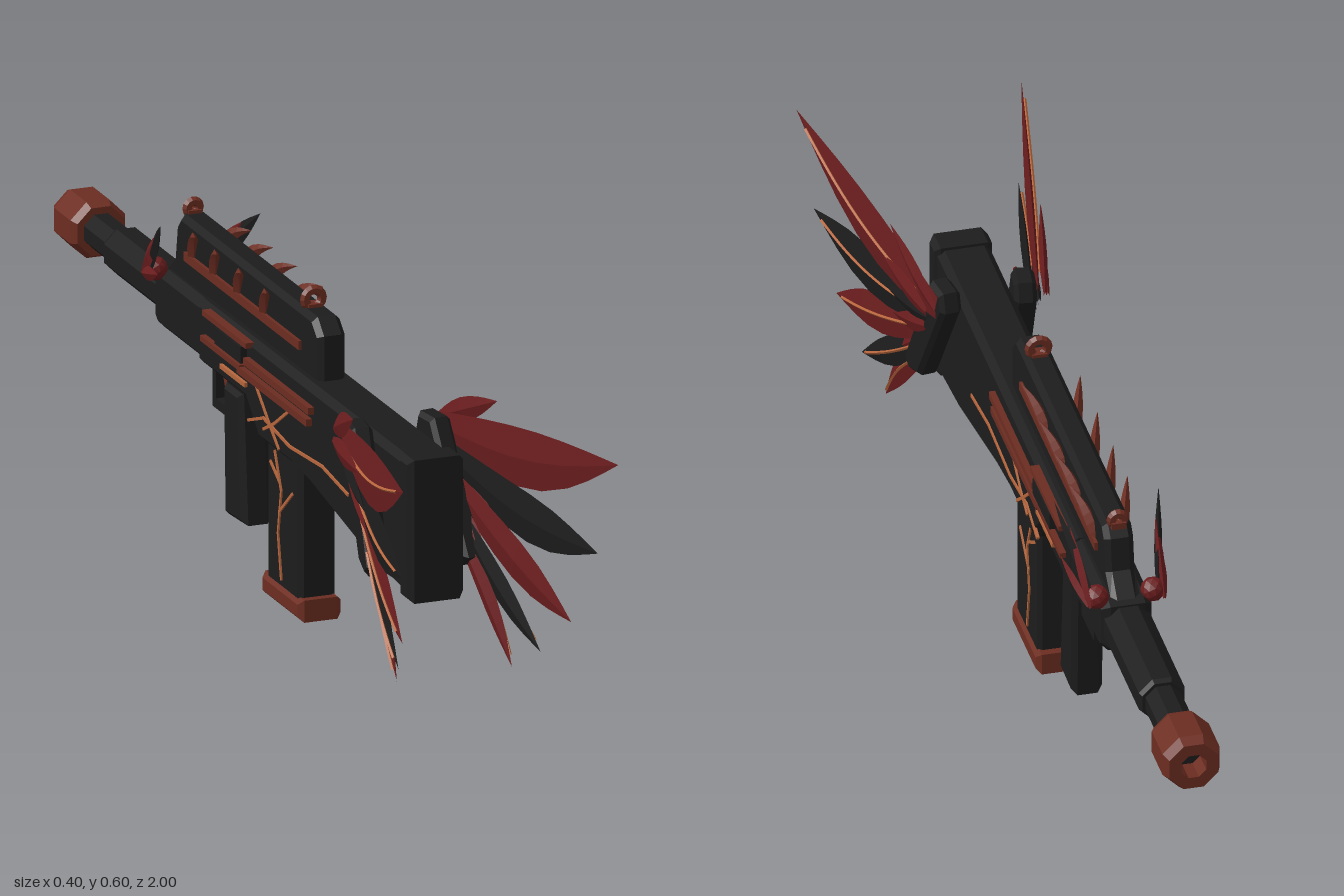
import * as THREE from 'three';

const mat = (name, color) => Object.assign(new THREE.MeshStandardMaterial({ color }), { name });
const V = (a) => new THREE.Vector3(...a);

export function createModel() {
  const black = mat('black', 0x1c1c1c);
  const red = mat('dark red', 0x6b1d1e);
  const bronze = mat('bronze', 0x6c2d21);
  const ember = mat('ember orange', 0xb5653c);
  const model = new THREE.Group();
  model.name = 'wingedRifle';

  // Everything in "half" is on the left side and is mirrored at the end
  const half = new THREE.Group();
  half.name = 'leftDetails';

  const add = (parent, name, geo, material) => {
    const g = geo.index ? geo.toNonIndexed() : geo;
    g.computeVertexNormals();
    const m = new THREE.Mesh(g, material);
    m.name = name;
    parent.add(m);
    return m;
  };

  const box = (parent, name, material, size, pos) => {
    const m = add(parent, name, new THREE.BoxGeometry(...size), material);
    m.position.set(...pos);
    return m;
  };

  // Side profile of [z, y] points, extruded across x with chamfered edges
  const slab = (parent, name, material, pts, width, bevel) => {
    const shape = new THREE.Shape(pts.map((p) => new THREE.Vector2(...p)));
    const depth = width - 2 * bevel;
    const g = new THREE.ExtrudeGeometry(shape, {
      depth, bevelEnabled: bevel > 0, bevelSize: bevel, bevelThickness: bevel,
      bevelOffset: -bevel, bevelSegments: 1,
    });
    g.translate(0, 0, -depth / 2).rotateY(-Math.PI / 2);
    return add(parent, name, g, material);
  };

  // Eight-sided turned part along -z; profile is [radius, distance forward]
  const turned = (name, material, pts) => {
    const g = new THREE.LatheGeometry(pts.map((p) => new THREE.Vector2(...p)), 8, Math.PI / 8);
    g.rotateX(-Math.PI / 2).translate(0, 0.396, 0);
    return add(model, name, g, material);
  };

  // Blade with a diamond section: narrow root, widest at "peak", pointed tip
  const blade = (name, material, root, tip, o) => {
    const { w, thick = 0.007, sag = 0, peak = 0.5, vein = false, base = 0.35 } = o;
    const R = V(root), d = V(tip).sub(R);
    const out = new THREE.Vector3(1, 0, -0.2);
    out.addScaledVector(d, -out.dot(d) / d.lengthSq()).normalize();
    const s = out.clone().cross(d).normalize();
    const rows = [0, 0.12, 0.25, 0.4, 0.55, 0.7, 0.82, 0.92, 1];
    const rings = rows.map((t) => {
      const k = t < peak
        ? base + (1 - base) * Math.sin((t / peak) * Math.PI / 2)
        : Math.cos(((t - peak) / (1 - peak)) * Math.PI / 2);
      const c = R.clone().addScaledVector(d, t).addScaledVector(s, sag * Math.sin(Math.PI * t));
      const at = (v, a) => c.clone().addScaledVector(v, a * Math.max(k, 0.001));
      return [at(s, w), at(out, thick), at(s, -w), at(out, -thick)];
    });
    const pos = [];
    for (let i = 0; i < rows.length - 1; i++) {
      for (let j = 0; j < 4; j++) {
        const n = (j + 1) % 4;
        const [a, b, c, e] = [rings[i][j], rings[i][n], rings[i + 1][n], rings[i + 1][j]];
        for (const p of [a, b, c, a, c, e]) pos.push(p.x, p.y, p.z);
      }
    }
    const g = new THREE.BufferGeometry();
    g.setAttribute('position', new THREE.Float32BufferAttribute(pos, 3));
    add(half, name, g, material);
    if (vein) {
      // Vein along the outer ridge
      const path = new THREE.CatmullRomCurve3(
        rings.slice(1, 8).map((r) => r[1].clone().addScaledVector(out, 0.002)));
      add(half, name + 'Vein', new THREE.TubeGeometry(path, 14, 0.003, 4), ember);
    }
  };

  // Glowing crack: thin bars joining [z, y] points on a side face
  const crack = (name, x, pts, size = 0.0055) => {
    for (let i = 0; i < pts.length - 1; i++) {
      const [z0, y0] = pts[i], [z1, y1] = pts[i + 1];
      const m = box(half, name, ember, [0.006, size, Math.hypot(z1 - z0, y1 - y0) + 0.003],
        [x, (y0 + y1) / 2, (z0 + z1) / 2]);
      m.rotation.x = -Math.atan2(y1 - y0, z1 - z0);
    }
  };

  // Stock and receiver
  slab(model, 'receiver', black, [[0.63, 0.455], [0.63, 0.205], [0.46, 0.22], [0.19, 0.27], [0.1, 0.28],
    [-0.05, 0.28], [-0.11, 0.335], [-0.33, 0.335], [-0.33, 0.452]], 0.094, 0.012);
  slab(model, 'buttPad', black, [[0.66, 0.46], [0.66, 0.2], [0.61, 0.2], [0.61, 0.46]], 0.104, 0.01);
  slab(model, 'handguard', black, [[-0.3, 0.45], [-0.3, 0.34], [-0.52, 0.34], [-0.54, 0.355],
    [-0.54, 0.44], [-0.5, 0.45]], 0.09, 0.014);
  slab(model, 'topCover', black, [[0.18, 0.44], [0.18, 0.535], [0.15, 0.562], [-0.46, 0.562],
    [-0.48, 0.54], [-0.49, 0.48], [-0.53, 0.44]], 0.052, 0.01);

  // Barrel and muzzle
  turned('barrel', black, [[0.044, 0.5], [0.044, 0.775], [0.04, 0.785], [0.034, 0.785], [0.034, 0.92]]);
  turned('muzzle', bronze, [[0.03, 0.89], [0.047, 0.89], [0.055, 0.905], [0.055, 0.98], [0.047, 1],
    [0.024, 1], [0.024, 0.95]]);
  turned('bore', black, [[0.025, 0.955], [0, 0.955]]);

  // Magazine, grip and trigger
  slab(model, 'magazine', black, [[0.11, 0.3], [0.11, 0.03], [-0.04, 0.03], [-0.04, 0.3]], 0.068, 0.008);
  slab(model, 'magazineBase', bronze, [[0.125, 0.04], [0.125, 0], [-0.055, 0], [-0.055, 0.04]], 0.08, 0.009);
  slab(model, 'grip', black, [[-0.185, 0.32], [-0.165, 0.085], [-0.255, 0.08], [-0.262, 0.32]], 0.056, 0.01);
  box(model, 'gripMount', black, [0.04, 0.04, 0.07], [0, 0.325, -0.222]);
  box(model, 'triggerGuardBottom', black, [0.024, 0.018, 0.09], [0, 0.257, -0.3]);
  box(model, 'triggerGuardFront', black, [0.024, 0.09, 0.016], [0, 0.294, -0.337]);
  slab(model, 'trigger', bronze, [[-0.275, 0.345], [-0.282, 0.31], [-0.275, 0.285], [-0.29, 0.285],
    [-0.302, 0.31], [-0.302, 0.345]], 0.018, 0);

  // Ring sights
  for (const [z, r] of [[0.09, 0.016], [-0.465, 0.011]]) {
    const ring = add(model, 'ringSight', new THREE.TorusGeometry(r, 0.009, 6, 14), bronze);
    ring.position.set(0, 0.559 + r, z);
    box(model, 'sightBase', bronze, [0.026, 0.012, 0.024], [0, 0.562, z]);
  }

  // Ribs sweeping up and back over the top cover
  for (const z of [-0.08, -0.2, -0.31, -0.41]) {
    blade('coverRib', bronze, [0.022, 0.495, z], [0.053, 0.564, z + 0.085],
      { w: 0.015, thick: 0.01, sag: -0.016, peak: 0.2, base: 0.8 });
  }
  box(half, 'coverStrip', bronze, [0.012, 0.016, 0.53], [0.026, 0.496, -0.165]);

  // Receiver side trim and port
  box(half, 'longTrim', bronze, [0.016, 0.013, 0.3], [0.05, 0.413, 0.06]);
  box(half, 'longTrim', bronze, [0.016, 0.013, 0.32], [0.05, 0.389, 0.04]);
  box(half, 'portTop', bronze, [0.016, 0.01, 0.2], [0.05, 0.443, -0.18]);
  box(half, 'portBottom', bronze, [0.016, 0.01, 0.18], [0.05, 0.394, -0.2]);
  box(half, 'portCover', black, [0.018, 0.03, 0.12], [0.05, 0.42, -0.16]);
  box(half, 'portLine', ember, [0.012, 0.008, 0.115], [0.047, 0.366, -0.155]);

  // Cracks on the receiver and magazine
  crack('stockCrack', 0.047, [[0.37, 0.31], [0.25, 0.325], [0.1, 0.315], [-0.02, 0.33], [-0.09, 0.305]]);
  crack('receiverCrack', 0.047, [[0.1, 0.38], [0.03, 0.335], [-0.02, 0.31]]);
  crack('receiverCrack', 0.047, [[-0.06, 0.382], [0.01, 0.325], [0.05, 0.295]]);
  crack('magazineCrack', 0.034, [[0, 0.275], [0.03, 0.21], [0.015, 0.13], [0.03, 0.05]]);
  crack('magazineCrack', 0.034, [[0.08, 0.22], [0.02, 0.17]]);
  crack('magazineCrack', 0.034, [[-0.02, 0.25], [0.022, 0.225]]);

  // Wing root: slanted slab beside the butt, turned outward
  const root = slab(half, 'wingRoot', black, [[0.44, 0.475], [0.49, 0.475], [0.61, 0.255], [0.585, 0.235],
    [0.54, 0.25], [0.43, 0.44]], 0.04, 0.008);
  root.rotation.y = 0.13;
  root.position.set(0.01, 0, 0.01);

  // Wing feathers: material, root, tip, half width, sag, widest point
  const wing = [
    [red, [0.09, 0.445, 0.45], [0.2, 0.527, 1], 0.054, 0.027, 0.45],
    [black, [0.088, 0.41, 0.48], [0.182, 0.353, 0.95], 0.045, 0.022, 0.55],
    [red, [0.088, 0.37, 0.51], [0.157, 0.213, 0.89], 0.038, 0.008, 0.55],
    [black, [0.086, 0.32, 0.54], [0.132, 0.138, 0.81], 0.028, 0.006, 0.5],
    [red, [0.082, 0.28, 0.56], [0.107, 0.092, 0.74], 0.023, -0.012, 0.5],
  ];
  for (const [m, a, b, w, sag, peak] of wing) {
    blade('wingFeather', m, a, b, { w, sag, peak, vein: true, base: 0.45 });
  }

  // Short covert feathers over the roots
  const coverts = [
    [red, [0.098, 0.455, 0.43], [0.134, 0.53, 0.605], 0.022],
    [red, [0.108, 0.44, 0.45], [0.138, 0.445, 0.64], 0.022],
    [black, [0.1, 0.41, 0.48], [0.13, 0.375, 0.65], 0.018],
    [red, [0.098, 0.38, 0.5], [0.118, 0.315, 0.66], 0.02],
    [red, [0.09, 0.33, 0.54], [0.106, 0.245, 0.65], 0.016],
  ];
  for (const [m, a, b, w] of coverts) blade('covertFeather', m, a, b, { w, peak: 0.4 });

  // Small winglets beside the front of the cover
  const knob = add(half, 'wingletKnob', new THREE.IcosahedronGeometry(0.022, 1), red);
  knob.position.set(0.05, 0.45, -0.515);
  blade('wingletFeather', black, [0.058, 0.45, -0.52], [0.093, 0.572, -0.385], { w: 0.019, peak: 0.4 });
  blade('wingletFeather', red, [0.066, 0.44, -0.535], [0.076, 0.545, -0.43], { w: 0.018, peak: 0.4 });
  blade('wingletFeather', red, [0.068, 0.44, -0.53], [0.088, 0.475, -0.41], { w: 0.013, peak: 0.4 });

  // Mirror the left details to the right
  const other = half.clone();
  other.name = 'rightDetails';
  other.scale.x = -1;
  model.add(half, other);
  return model;
}
